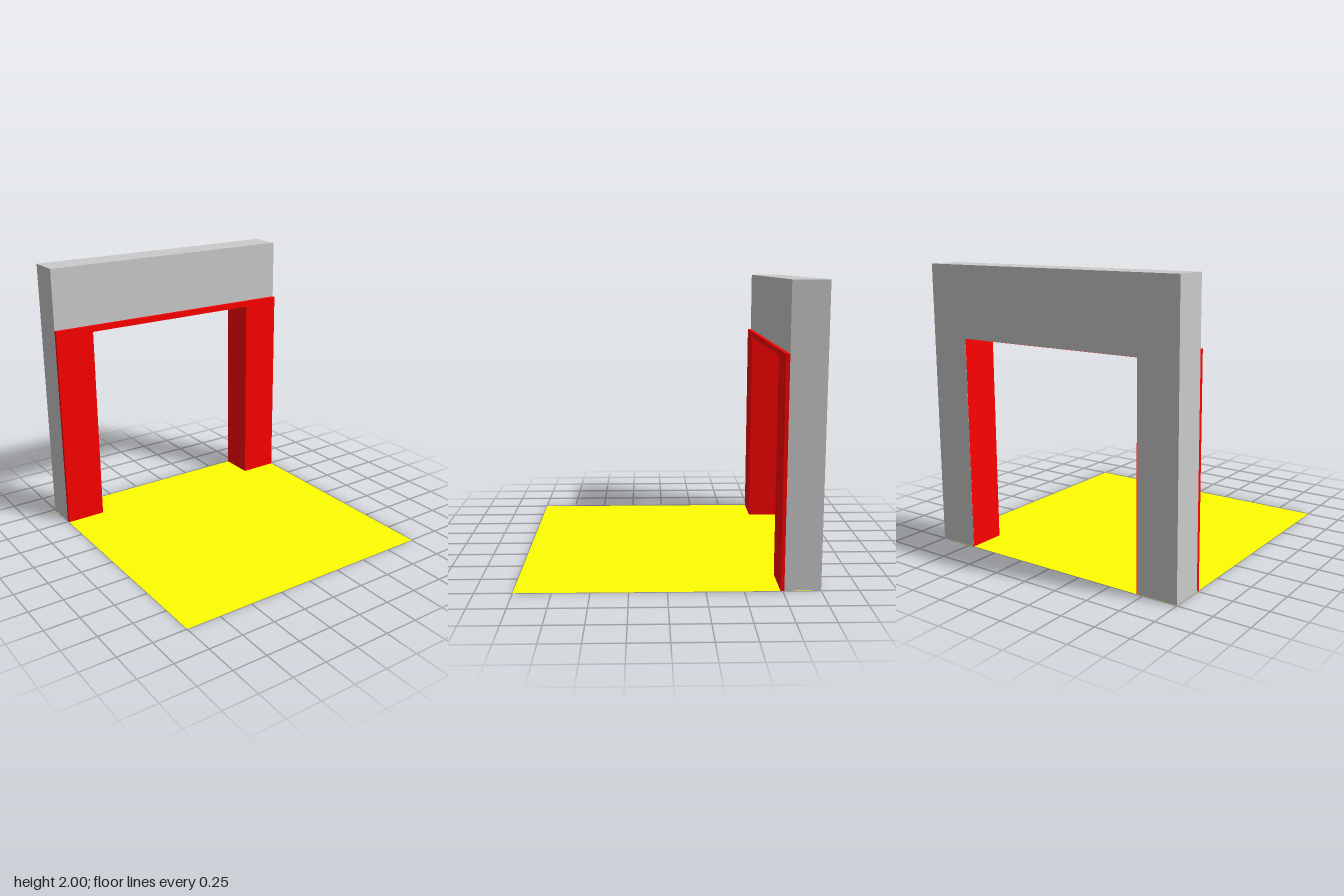
import * as THREE from 'three';

const HALF = 1, OPEN_X = 0.705, OPEN_Y = 1.5;
const BACK = -1, WALL_FRONT = -0.76, PANEL_FRONT = -0.735;
const LIFT = 0.001; // keeps undersides just clear of the floor

// Upright frame with a doorway open at the bottom, extruded from z0 to z1
function archGeometry(top, z0, z1, inset = 0) {
  const x = OPEN_X + inset, y = OPEN_Y + inset;
  const shape = new THREE.Shape([
    [-HALF, LIFT], [-x, LIFT], [-x, y], [x, y], [x, LIFT],
    [HALF, LIFT], [HALF, top], [-HALF, top],
  ].map(([px, py]) => new THREE.Vector2(px, py)));
  const geometry = new THREE.ExtrudeGeometry(shape, { depth: z1 - z0, bevelEnabled: false });
  return geometry.translate(0, 0, z0);
}

export function createModel() {
  const model = new THREE.Group();
  model.name = 'doorwayWithFloor';
  const grey = new THREE.MeshStandardMaterial({ color: 0xcccccc });
  const red = new THREE.MeshStandardMaterial({ color: 0xff0000, side: THREE.DoubleSide });
  const yellow = new THREE.MeshStandardMaterial({ color: 0xffff00, side: THREE.DoubleSide });

  const add = (name, geometry, material) => {
    const mesh = new THREE.Mesh(geometry, material);
    mesh.name = name;
    model.add(mesh);
    return mesh;
  };

  // Wall with doorway, and the thin facing on its front
  add('wall', archGeometry(2, BACK, WALL_FRONT, 0.001), grey);
  add('frontFacing', archGeometry(1.545, WALL_FRONT, PANEL_FRONT), red);

  // Painted lining of the doorway, through the thickness of the wall
  const depth = WALL_FRONT - BACK, midZ = (WALL_FRONT + BACK) / 2;
  for (const [name, side] of [['leftLining', 1], ['rightLining', -1]]) {
    const lining = add(name, new THREE.PlaneGeometry(depth, OPEN_Y), red);
    lining.rotation.y = -side * Math.PI / 2;
    lining.position.set(side * OPEN_X, OPEN_Y / 2, midZ);
  }
  const topLining = add('topLining', new THREE.PlaneGeometry(OPEN_X * 2, depth), red);
  topLining.rotation.x = Math.PI / 2;
  topLining.position.set(0, OPEN_Y, midZ);

  // Floor sheet under everything
  const floor = add('floor', new THREE.PlaneGeometry(2, 2), yellow);
  floor.rotation.x = -Math.PI / 2;

  return model;
}
